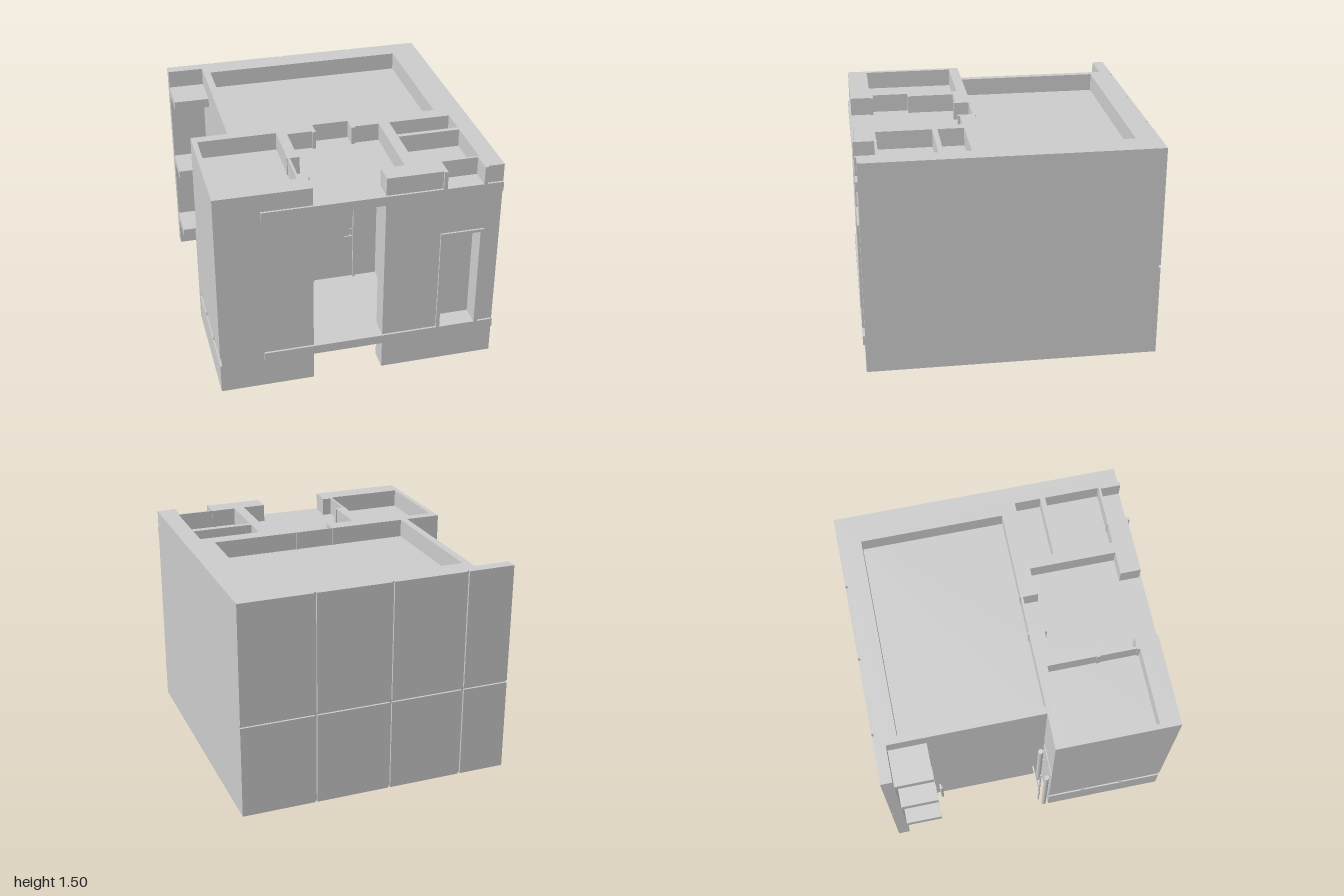
import * as THREE from 'three';

const H = 1.5, FLOOR = [0.21, 0.275], CEIL = [1.31, 1.375];

export function createModel() {
  const model = new THREE.Group();
  model.name = 'apartmentModule';
  const mat = new THREE.MeshStandardMaterial({ color: 0xcccccc, side: THREE.DoubleSide });

  const add = (name, geo, parent = model) => {
    const m = new THREE.Mesh(geo, mat);
    m.name = name;
    parent.add(m);
    return m;
  };
  // box given by its min and max on each axis
  const box = (name, x0, x1, y0, y1, z0, z1, parent) => {
    const m = add(name, new THREE.BoxGeometry(x1 - x0, y1 - y0, z1 - z0), parent);
    m.position.set((x0 + x1) / 2, (y0 + y1) / 2, (z0 + z1) / 2);
    return m;
  };
  // round bar between two points
  const bar = (name, a, b, r, parent) => {
    const p = new THREE.Vector3(...a), q = new THREE.Vector3(...b);
    const m = add(name, new THREE.CylinderGeometry(r, r, p.distanceTo(q), 16), parent);
    m.position.copy(p).add(q).multiplyScalar(0.5);
    m.quaternion.setFromUnitVectors(new THREE.Vector3(0, 1, 0), q.sub(p).normalize());
    return m;
  };

  // floor plan (x, z) for one horizontal layer of the building
  function plan({ hall, frontDoor, sideDoor, backDoor, groove, niche }) {
    const left = groove ? -0.945 : -0.955;
    return [
      [-0.955, -0.985], [0.955, -0.985], [0.955, 0.985],
      ...(frontDoor ? [[0.82, 0.985], [0.82, 0.86], [0.57, 0.86], [0.57, 0.985]] : []),
      ...(hall ? [
        [0.165, 0.985], [0.165, 0.845], [0.325, 0.845], [0.325, 0.25],
        ...(backDoor ? [[0.13, 0.25], [0.13, 0.16], [-0.12, 0.16], [-0.12, 0.25]] : []),
        [-0.315, 0.25],
        ...(sideDoor ? [[-0.315, 0.575], [-0.37, 0.575], [-0.37, 0.825], [-0.315, 0.825]] : []),
        [-0.315, 0.985],
      ] : []),
      [left, 0.985], [left, 0.145],
      ...(niche ? [[-0.945, 0.145], [-0.945, 0.195], [-0.705, 0.195]] : []),
      [-0.705, 0.145], [-0.705, -0.92], [-0.955, -0.92],
    ];
  }
  // rooms as x0, x1, z0, z1
  const rooms = [
    [-0.655, 0.755, -0.84, 0.145],
    [-0.92, -0.385, 0.215, 0.845],
    [0.4, 0.83, 0.25, 0.43],
    [0.4, 0.83, 0.465, 0.845],
  ];
  const toPath = (pts) => pts.map(([x, z]) => new THREE.Vector2(x, -z));
  function layer(name, y0, y1, opts) {
    const shape = new THREE.Shape(toPath(plan(opts)));
    if (opts.rooms) {
      for (const [a, b, c, d] of rooms) {
        shape.holes.push(new THREE.Path(toPath([[a, c], [a, d], [b, d], [b, c]])));
      }
    }
    const geo = new THREE.ExtrudeGeometry(shape, { depth: y1 - y0, bevelEnabled: false });
    geo.rotateX(-Math.PI / 2);
    add(name, geo).position.y = y0;
  }

  // stacked walls and slabs
  const doors = { hall: true, frontDoor: true, sideDoor: true };
  layer('lowerWalls', 0, FLOOR[0], { hall: true, rooms: true });
  layer('floorSlab', ...FLOOR, { groove: true });
  layer('storeyWalls', FLOOR[1], 0.77, doors);
  layer('nicheWalls', 0.77, 0.84, { ...doors, niche: true });
  layer('doorHeadWalls', 0.84, 1.01, doors);
  layer('storeyTopWalls', 1.01, CEIL[0], { hall: true });
  layer('ceilingSlab', ...CEIL, {});
  layer('upperWalls', CEIL[1], H, { ...doors, backDoor: true, rooms: true });

  // slab edges showing on the front
  for (const [y0, y1] of [FLOOR, CEIL]) box('slabEdge', -0.655, 0.955, y0, y1, 0.98, 1);

  // door frames: opening centred on the group, depth along its z
  function frame(name, x, z, angle, depth, y0, y1, header) {
    const g = new THREE.Group();
    g.name = name;
    g.position.set(x, 0, z);
    g.rotation.y = angle;
    model.add(g);
    for (const s of [-1, 1]) {
      const a = s * 0.125, b = s * 0.15;
      box('jamb', Math.min(a, b), Math.max(a, b), y0, y1, -depth / 2, depth / 2, g);
    }
    if (header) box('header', -0.15, 0.15, y1, y1 + 0.02, -depth / 2, depth / 2, g);
  }
  for (const [y0, y1, header] of [[FLOOR[1], 1.01, true], [CEIL[1], H, false]]) {
    frame('frontDoorFrame', 0.695, 0.92, 0, 0.158, y0, y1, header);
    frame('sideDoorFrame', -0.348, 0.7, Math.PI / 2, 0.086, y0, y1, header);
  }
  frame('upperBackDoorFrame', 0.005, 0.2025, 0, 0.125, CEIL[1], H, false);

  // entrance door at the back of the hall
  const door = new THREE.Group();
  door.name = 'entranceDoor';
  model.add(door);
  box('doorFrameLeft', 0.15, 0.165, FLOOR[1], 0.985, 0.245, 0.27, door);
  box('doorFrameRight', -0.15, -0.135, FLOOR[1], 0.985, 0.245, 0.27, door);
  box('doorFrameTop', -0.15, 0.165, 0.985, 1.0, 0.245, 0.27, door);
  box('doorLeaf', -0.133, 0.148, 0.29, 0.975, 0.245, 0.26, door);
  box('doorWindow', -0.04, 0.058, 0.705, 0.905, 0.255, 0.264, door);
  bar('handle', [0.085, 0.636, 0.28], [0.138, 0.636, 0.28], 0.005, door);
  bar('handleStem', [0.13, 0.636, 0.255], [0.13, 0.636, 0.28], 0.005, door);
  bar('lock', [0.135, 0.68, 0.255], [0.135, 0.68, 0.268], 0.009, door);

  // meter cupboard beside the entrance door
  box('cupboardLower', -0.315, -0.155, FLOOR[1], 0.755, 0.245, 0.268);
  box('cupboardUpper', -0.315, -0.155, 0.755, CEIL[0], 0.245, 0.262);

  // back facade panels with open joints
  const joints = [-0.955, -0.62, -0.09, 0.44, 0.955], rows = [0, 0.655, H], gap = 0.008;
  for (let i = 0; i < 4; i++) {
    for (let j = 0; j < 2; j++) {
      box('facadePanel',
        joints[i] + (i ? gap : 0), joints[i + 1] - (i < 3 ? gap : 0),
        rows[j] + (j ? gap : 0), rows[j + 1] - (j ? 0 : gap), -1, -0.984);
    }
  }

  // side ledges behind the facade
  for (const [y0, y1] of [FLOOR, [0.73, 0.795], CEIL]) {
    box('sideLedge', -0.955, -0.7, y0, y1, -0.925, -0.66);
  }

  // pipes and rail in the side recess
  bar('outerPipe', [-0.94, 0, 0.115], [-0.94, 0.745, 0.115], 0.017);
  bar('innerPipe', [-0.745, 0, 0.115], [-0.745, 0.745, 0.115], 0.019);
  bar('pipeBracket', [-0.745, 0.5, 0.115], [-0.745, 0.5, 0.15], 0.012);
  bar('sideRail', [-0.915, 0.22, 0.08], [-0.7, 0.22, 0.08], 0.007);
  bar('railPost', [-0.908, 0, 0.08], [-0.908, 0.72, 0.08], 0.006);
  bar('drainPipe', [-0.735, 0, -0.625], [-0.735, 0.25, -0.625], 0.011);
  bar('drainElbow', [-0.735, 0.24, -0.625], [-0.7, 0.24, -0.625], 0.009);

  // small brackets in the side groove
  for (const z of [0.4, 0.69]) box('grooveBracket', -0.954, -0.94, 0.22, 0.255, z - 0.012, z + 0.012);

  // lamp and hanging rail under the floor slab
  bar('ceilingLamp', [0.22, 0.19, -0.485], [0.22, 0.215, -0.485], 0.025);
  bar('hangingRail', [-0.49, 0.17, -0.67], [-0.49, 0.17, 0.13], 0.009);
  for (const z of [-0.4, -0.05]) bar('railHanger', [-0.49, 0.17, z], [-0.49, 0.215, z], 0.012);

  return model;
}
